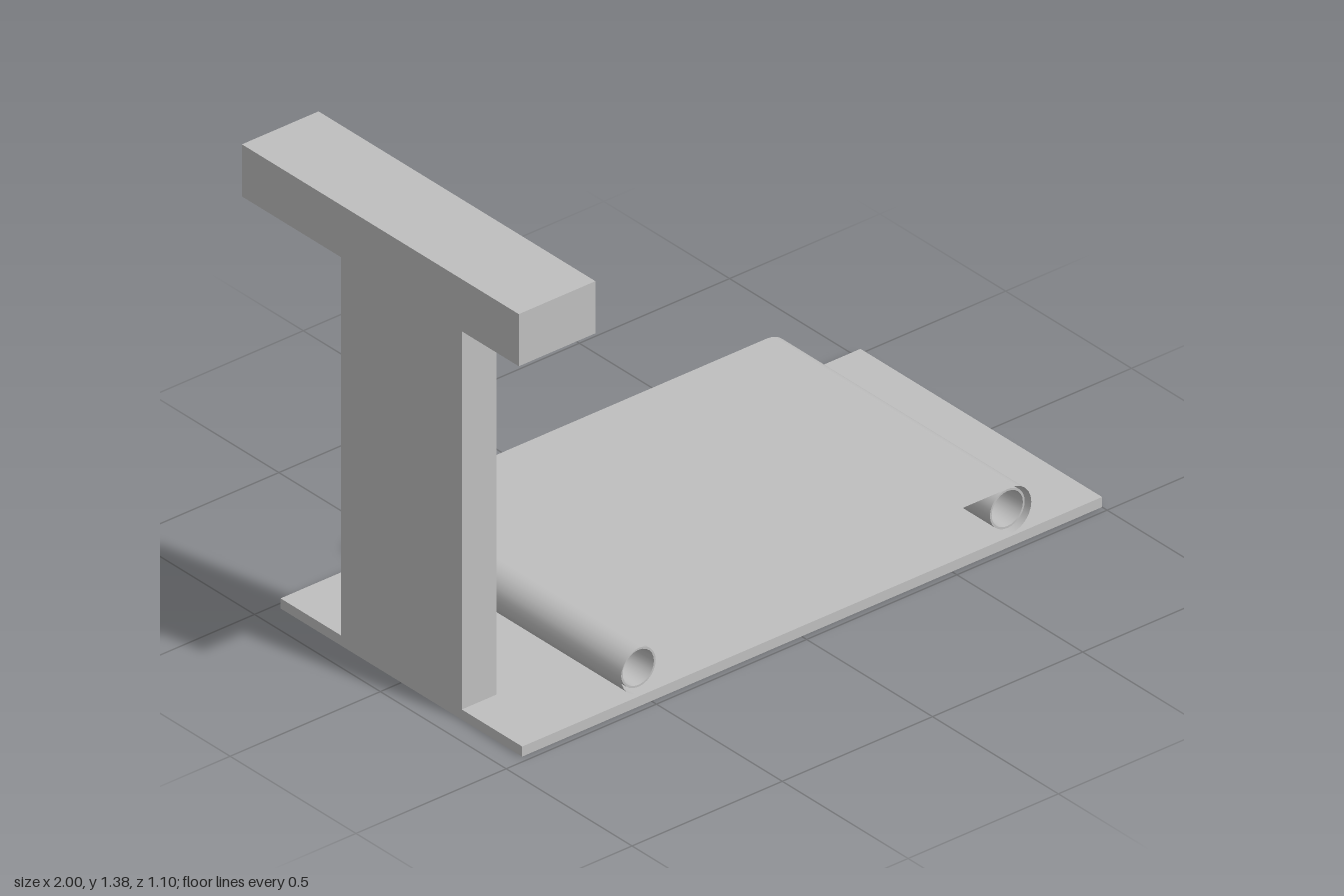
import * as THREE from 'three';

const grey = new THREE.MeshStandardMaterial({ color: 0xbfbfbf });
grey.name = 'plain grey';
const greySheet = grey.clone();
greySheet.name = 'plain grey sheet';
greySheet.side = THREE.DoubleSide;

// Box given by its lower and upper corners
function box(name, [x0, y0, z0], [x1, y1, z1]) {
  const geo = new THREE.BoxGeometry(x1 - x0, y1 - y0, z1 - z0);
  geo.translate((x0 + x1) / 2, (y0 + y1) / 2, (z0 + z1) / 2);
  const mesh = new THREE.Mesh(geo, grey);
  mesh.name = name;
  return mesh;
}

export function createModel() {
  const model = new THREE.Group();
  model.name = 'treadmill';

  // Floor plate, upright post and console
  model.add(box('basePlate', [-0.93, 0, -0.48], [1, 0.03, 0.48]));
  model.add(box('post', [-0.93, 0.03, -0.24], [-0.815, 1.16, 0.24]));
  model.add(box('console', [-1, 1.22, -0.55], [-0.745, 1.375, 0.55]));

  // Flared neck: a box whose lower corners are drawn in to the post
  const neck = box('consoleNeck', [-1, 1.16, -0.55], [-0.745, 1.22, 0.55]);
  const pos = neck.geometry.attributes.position;
  for (let i = 0; i < pos.count; i++) {
    if (pos.getY(i) > 1.19) continue;
    pos.setX(i, pos.getX(i) < -0.87 ? -0.93 : -0.815);
    pos.setZ(i, Math.sign(pos.getZ(i)) * 0.24);
  }
  neck.geometry = neck.geometry.toNonIndexed();
  neck.geometry.computeVertexNormals();
  model.add(neck);

  // Rollers with funnel-shaped hollow ends
  const rollerY = 0.109, rollerX = [-0.535, 0.693];
  const profile = [
    [0, -0.25], [0.036, -0.25], [0.052, -0.48], [0.058, -0.48],
    [0.058, 0.48], [0.052, 0.48], [0.036, 0.25], [0, 0.25],
  ];
  for (const [i, x] of rollerX.entries()) {
    const roller = new THREE.Group();
    roller.name = i ? 'rearRoller' : 'frontRoller';
    // One lathe per profile span keeps the rims crisp
    for (let k = 0; k < profile.length - 1; k++) {
      const span = [profile[k], profile[k + 1]].map(([r, y]) => new THREE.Vector2(r, y));
      const part = new THREE.Mesh(new THREE.LatheGeometry(span, 24), greySheet);
      part.name = 'rollerSurface';
      roller.add(part);
    }
    roller.rotation.x = Math.PI / 2;
    roller.position.set(x, rollerY, -0.01);
    model.add(roller);
  }

  // Belt: a thin closed sheet running around both rollers
  const R = 0.069, steps = 12, half = 0.483;
  const verts = [], normals = [], index = [];
  const ring = [];
  for (let s = 0; s < 2; s++) {
    for (let k = 0; k <= steps; k++) {
      const a = -Math.PI / 2 + Math.PI * (s + k / steps);
      ring.push([rollerX[1 - s], Math.cos(a), Math.sin(a)]);
    }
  }
  ring.push(ring[0]);
  ring.forEach(([cx, nx, ny], i) => {
    for (const z of [half, -half]) {
      verts.push(cx + R * nx, rollerY + R * ny, z);
      normals.push(nx, ny, 0);
    }
    if (i) {
      const b = i * 2, a = b - 2;
      index.push(a, a + 1, b, b, a + 1, b + 1);
    }
  });
  const beltGeo = new THREE.BufferGeometry();
  beltGeo.setAttribute('position', new THREE.Float32BufferAttribute(verts, 3));
  beltGeo.setAttribute('normal', new THREE.Float32BufferAttribute(normals, 3));
  beltGeo.setIndex(index);
  const belt = new THREE.Mesh(beltGeo, greySheet);
  belt.name = 'runningBelt';
  model.add(belt);

  return model;
}
